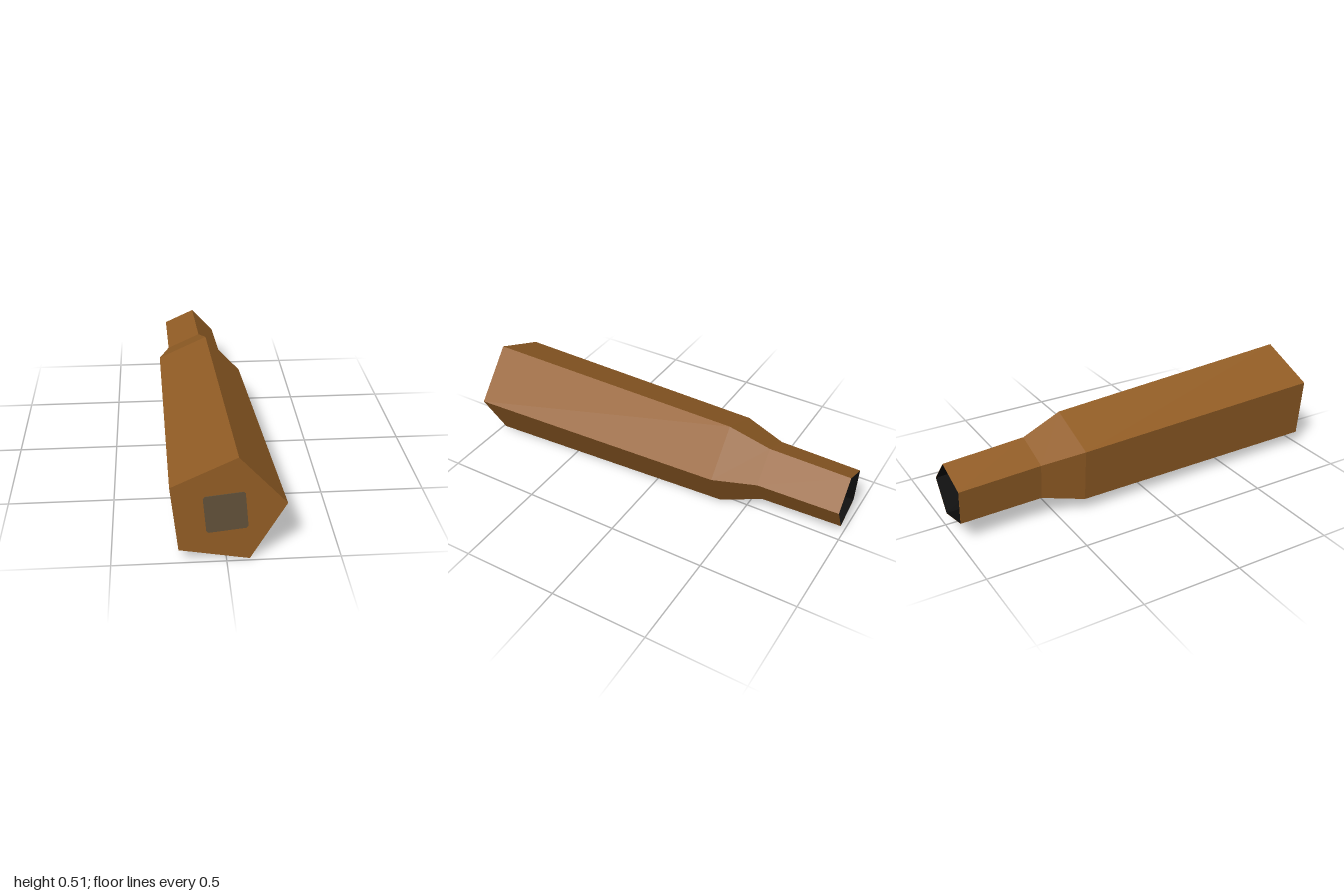
import * as THREE from 'three';

// Ring descriptions along the slightly tilted axis: centre x, y, z and radius
const FRONT = [-0.008, 0.247, 0.987, 0.269];
const SHOULDER = [-0.054, 0.223, -0.37, 0.235];
const NECK = [-0.066, 0.223, -0.58, 0.16];
const MOUTH = [-0.08, 0.213, -0.995, 0.151];

const scaled = ([x, y, z, r], s) => [x, y, z, r * s];

// Polygon ring lying square to the tilted axis
function ringPoints([cx, cy, cz, r], angles) {
  return angles.map((a) => {
    const dx = r * Math.cos(a), dy = r * Math.sin(a);
    return [cx + dx, cy + dy, cz - 0.036 * dx - 0.017 * dy];
  });
}

// Skin a sequence of rings with flat faces
function loft(rings, angles) {
  const points = rings.map((ring) => ringPoints(ring, angles));
  const position = [];
  for (let i = 0; i < rings.length - 1; i++) {
    for (let j = 0; j < angles.length; j++) {
      const k = (j + 1) % angles.length;
      const a = points[i][j], b = points[i][k];
      const c = points[i + 1][k], d = points[i + 1][j];
      if (rings[i + 1][3] > 0) position.push(...a, ...d, ...c);
      if (rings[i][3] > 0) position.push(...a, ...c, ...b);
    }
  }
  const geometry = new THREE.BufferGeometry();
  geometry.setAttribute('position', new THREE.Float32BufferAttribute(position, 3));
  geometry.computeVertexNormals();
  return geometry;
}

export function createModel() {
  const brass = new THREE.MeshStandardMaterial({ color: 0x925d25 });
  brass.name = 'brass brown';
  const dark = new THREE.MeshStandardMaterial({ color: 0x625139 });
  dark.name = 'dull olive';
  const black = new THREE.MeshStandardMaterial({ color: 0x0a0a0a });
  black.name = 'black';

  const model = new THREE.Group();
  model.name = 'cartridgeCase';
  const add = (name, geometry, material) => {
    const mesh = new THREE.Mesh(geometry, material);
    mesh.name = name;
    model.add(mesh);
  };
  const deg = Math.PI / 180;
  const five = [0, 1, 2, 3, 4].map((i) => (6 + 72 * i) * deg);

  // Five-sided case: closed base, tapering body, shoulder, neck and thin lip
  add('case', loft([scaled(FRONT, 0), FRONT, SHOULDER, NECK, MOUTH, scaled(MOUTH, 0.985)], five), brass);

  // Hollow neck
  add('neckBore', loft([scaled(MOUTH, 0.985), scaled(NECK, 0.96), scaled(NECK, 0)], five), black);

  // Square primer on the base, with slightly clipped corners
  const primerAngles = [];
  for (let i = 0; i < 4; i++) primerAngles.push((50 + 90 * i - 3) * deg, (50 + 90 * i + 3) * deg);
  const primerBack = [-0.005, 0.247, 0.987, 0.122];
  const primerFront = [-0.005, 0.247, 0.99, 0.122];
  add('primer', loft([scaled(primerFront, 0), primerFront, primerBack], primerAngles), dark);

  return model;
}
